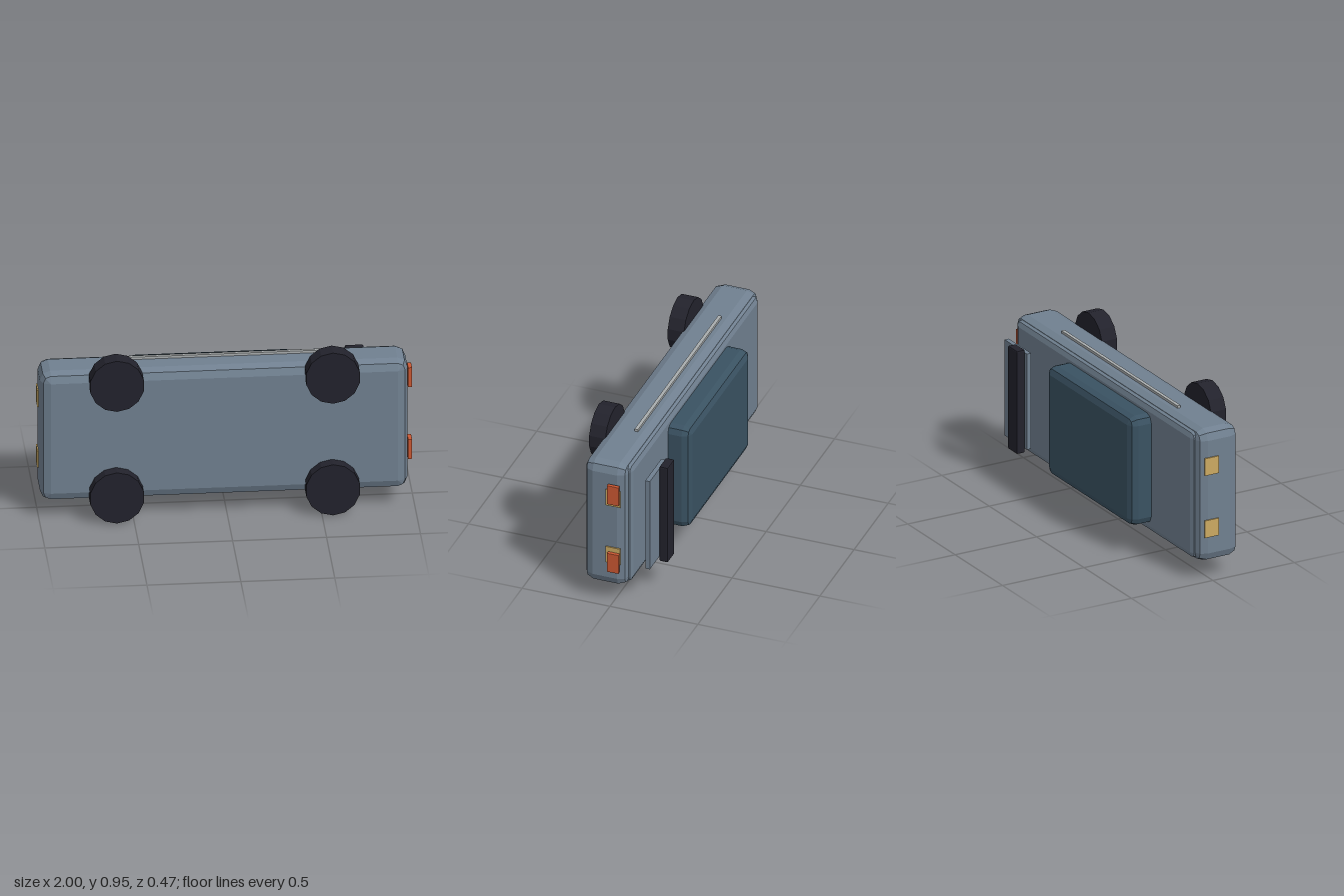
import * as THREE from 'three';
import { ConvexGeometry } from 'three/addons/geometries/ConvexGeometry.js';

const paint = (name, color) => new THREE.MeshStandardMaterial({ name, color });

// Box between two corners with two-step bevelled edges, faceted
function bevelBox(min, max, r) {
  const points = [];
  for (const sx of [0, 1]) for (const sy of [0, 1]) for (const sz of [0, 1]) {
    const side = [sx, sy, sz];
    for (let i = 0; i < 3; i++) for (let j = 0; j < 3; j++) {
      const a = i * Math.PI / 4, b = j * Math.PI / 4;
      const dir = [Math.cos(a) * Math.cos(b), Math.sin(a) * Math.cos(b), Math.sin(b)];
      if (j === 2 && i > 0) continue;
      points.push(new THREE.Vector3(...dir.map((d, k) =>
        side[k] ? max[k] - r + r * d : min[k] + r - r * d)));
    }
  }
  return new ConvexGeometry(points);
}

function plainBox(min, max) {
  const g = new THREE.BoxGeometry(...max.map((v, k) => v - min[k]));
  return g.translate(...max.map((v, k) => (v + min[k]) / 2));
}

export function createModel() {
  const model = new THREE.Group();
  model.name = 'car';

  const slate = paint('slate body paint', 0x708090);
  const glass = paint('dark cabin glass', 0x3a5262);
  const rubber = paint('black rubber', 0x22222c);
  const amber = paint('pale yellow lamp', 0xccaa62);
  const red = paint('orange red lamp', 0xcc5833);
  const trim = paint('light grey trim', 0xa9adae);

  const add = (name, geometry, material) => {
    const mesh = new THREE.Mesh(geometry, material);
    mesh.name = name;
    model.add(mesh);
    return mesh;
  };

  // The car lies on its side: its roof faces -z and its wheels +z
  add('body', bevelBox([-0.993, 0.102, -0.081], [0.965, 0.856, 0.168], 0.055), slate);
  add('upperDeck', bevelBox([-0.955, 0.115, -0.093], [0.932, 0.842, 0.02], 0.037), slate);
  add('cabin', bevelBox([-0.51, 0.167, -0.216], [0.393, 0.791, -0.03], 0.045), glass);

  // Rear wing
  add('wingPlate', plainBox([0.65, 0.205, -0.182], [0.885, 0.753, -0.156]), slate);
  add('wingBlade', bevelBox([0.66, 0.185, -0.236], [0.76, 0.775, -0.186], 0.008), rubber);

  // Wheels
  const wheelShape = new THREE.CylinderGeometry(0.149, 0.149, 0.092, 14).toNonIndexed();
  wheelShape.rotateX(Math.PI / 2);
  wheelShape.scale(0.98, 1, 1);
  wheelShape.computeVertexNormals();
  for (const x of [-0.592, 0.558]) {
    for (const y of [0.149, 0.806]) {
      add('wheel', wheelShape, rubber).position.set(x, y, 0.189);
    }
  }

  // Side trim strips
  for (const [low, high] of [[0.087, 0.11], [0.848, 0.87]]) {
    add('sideTrim', plainBox([-0.63, low, -0.002], [0.596, high, 0.017]), trim);
  }

  // Lamps, mirrored about the middle of the body
  const middle = 0.479;
  for (const s of [-1, 1]) {
    const span = (near, far) => s > 0 ? [middle + near, middle + far] : [middle - far, middle - near];
    const [a, b] = span(0.129, 0.227);
    add('frontLamp', plainBox([-1.0, a, -0.047], [-0.992, b, 0.037]), amber);
    add('rearLamp', plainBox([0.964, a, -0.047], [0.972, b, 0.037]), amber);
    const [c, d] = span(0.153, 0.269);
    add('tailLight', bevelBox([0.976, c, -0.047], [0.998, d, 0.02], 0.003), red);
  }
  return model;
}
